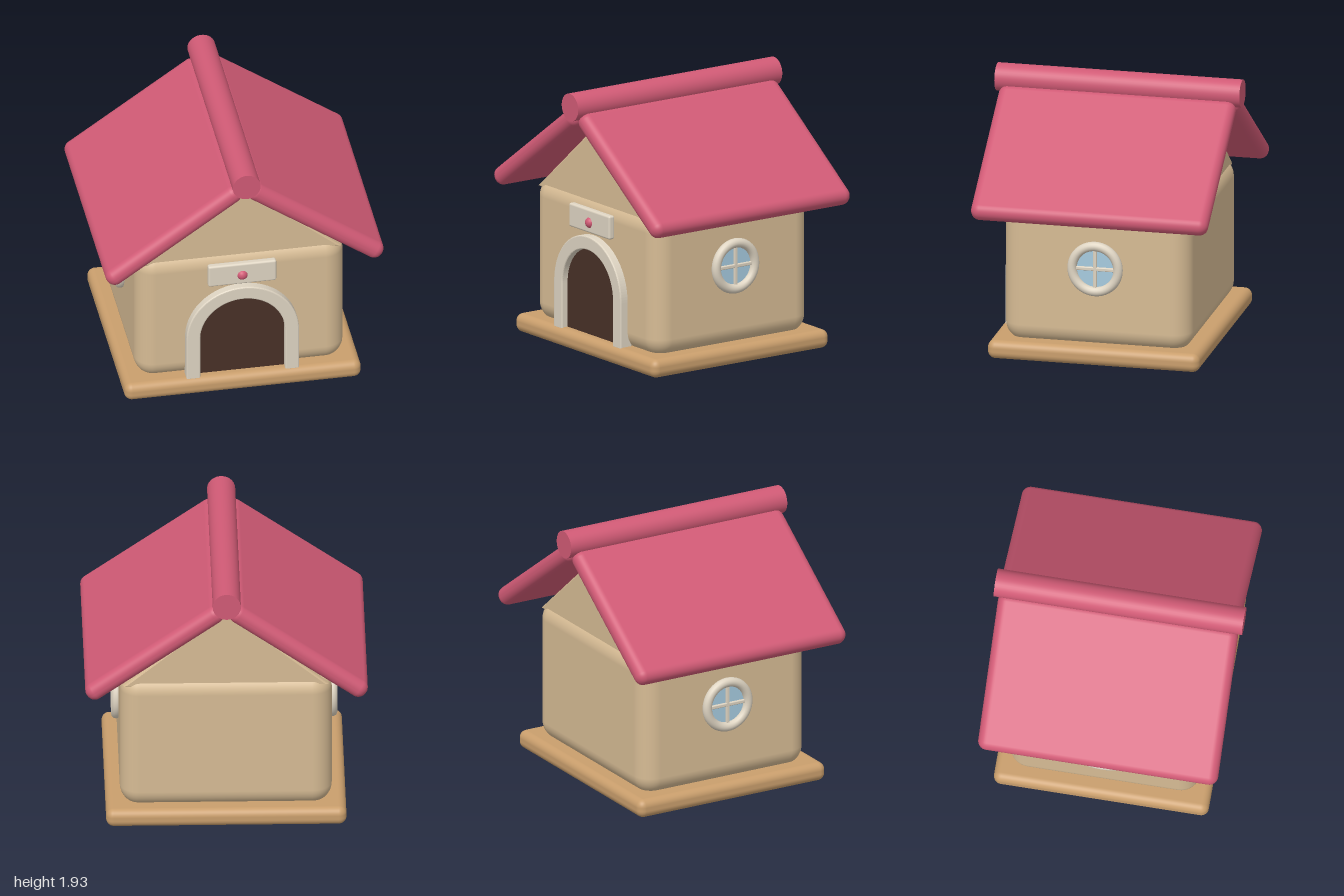
import * as THREE from 'three';
import { RoundedBoxGeometry } from 'three/addons/geometries/RoundedBoxGeometry.js';

const mat = (color) => new THREE.MeshStandardMaterial({ color });
const WALL = mat(0xd6bb94), WOOD = mat(0xc99e6c), PINK = mat(0xd05a75);
const TRIM = mat(0xded4c2), DARK = mat(0x483027), GLASS = mat(0xa6cbdf);

function add(parent, name, geometry, material, x = 0, y = 0, z = 0) {
  const mesh = new THREE.Mesh(geometry, material);
  mesh.name = name;
  mesh.position.set(x, y, z);
  parent.add(mesh);
  return mesh;
}

const rounded = (w, h, d, r) => new RoundedBoxGeometry(w, h, d, 5, r);

// Doorway outline: straight sides with a half-round top
function archShape(half, bottom, spring) {
  const s = new THREE.Shape();
  s.moveTo(-half, bottom);
  s.lineTo(half, bottom);
  s.lineTo(half, spring);
  s.absarc(0, spring, half, 0, Math.PI, false);
  s.closePath();
  return s;
}

// Outline of the door surround: an arched band open at the foot
function archBand(outer, inner, bottom, spring) {
  const s = new THREE.Shape();
  s.moveTo(inner, bottom);
  s.lineTo(outer, bottom);
  s.lineTo(outer, spring);
  s.absarc(0, spring, outer, 0, Math.PI, false);
  s.lineTo(-outer, bottom);
  s.lineTo(-inner, bottom);
  s.lineTo(-inner, spring);
  s.absarc(0, spring, inner, Math.PI, 0, true);
  s.closePath();
  return s;
}

// Round window facing +z, with a cross of glazing bars
function makeWindow() {
  const g = new THREE.Group();
  add(g, 'windowFrame', new THREE.TorusGeometry(0.167, 0.034, 16, 48), TRIM, 0, 0, 0.016);
  const pane = add(g, 'windowPane', new THREE.CylinderGeometry(0.16, 0.16, 0.02, 40), GLASS);
  pane.rotation.x = Math.PI / 2;
  add(g, 'windowBarVertical', rounded(0.026, 0.28, 0.026, 0.006), TRIM, 0, 0, 0.015);
  add(g, 'windowBarHorizontal', rounded(0.28, 0.026, 0.026, 0.006), TRIM, 0, 0, 0.015);
  return g;
}

export function createModel() {
  const house = new THREE.Group();
  house.name = 'house';

  // Base slab and walls
  add(house, 'base', rounded(1.7, 0.135, 1.54, 0.055), WOOD, 0, 0.0675, 0);
  add(house, 'walls', rounded(1.5, 1.05, 1.36, 0.14), WALL, 0, 0.625, 0);

  // Gable prism under the roof
  const tri = new THREE.Shape();
  tri.moveTo(-0.7, 1.08);
  tri.lineTo(0.7, 1.08);
  tri.lineTo(0, 1.654);
  tri.closePath();
  const gable = new THREE.ExtrudeGeometry(tri, {
    depth: 1.26, bevelEnabled: true, bevelThickness: 0.02, bevelSize: 0.02, bevelSegments: 3,
  });
  add(house, 'gable', gable, WALL, 0, 0, -0.63);

  // Roof slabs and ridge
  for (const side of [1, -1]) {
    const slab = add(house, side > 0 ? 'roofLeft' : 'roofRight',
      rounded(1.165, 0.134, 1.72, 0.064), PINK, side * 0.51, 1.425, 0);
    slab.rotation.z = -side * 0.615;
  }
  const ridge = add(house, 'roofRidge', new THREE.CylinderGeometry(0.1, 0.1, 1.78, 40), PINK, 0, 1.83, 0);
  ridge.rotation.x = Math.PI / 2;

  // Doorway: dark panel with an arched surround
  const door = new THREE.ExtrudeGeometry(archShape(0.32, 0.12, 0.46), {
    depth: 0.05, bevelEnabled: false, curveSegments: 32,
  });
  add(house, 'doorway', door, DARK, 0, 0, 0.64);
  const surround = new THREE.ExtrudeGeometry(archBand(0.395, 0.315, 0.13, 0.46), {
    depth: 0.08, bevelEnabled: true, bevelThickness: 0.01, bevelSize: 0.01, bevelSegments: 3,
    curveSegments: 32,
  });
  add(house, 'doorSurround', surround, TRIM, 0, 0, 0.65);

  // Plaque with a round stud above the door
  add(house, 'plaque', rounded(0.49, 0.172, 0.05, 0.015), TRIM, 0, 0.973, 0.7);
  add(house, 'plaqueStud', new THREE.SphereGeometry(0.04, 24, 16), PINK, 0, 0.963, 0.71);

  // Side windows
  for (const side of [1, -1]) {
    const win = makeWindow();
    win.name = side > 0 ? 'windowLeft' : 'windowRight';
    win.position.set(side * 0.75, 0.7, 0);
    win.rotation.y = side * Math.PI / 2;
    house.add(win);
  }
  return house;
}
